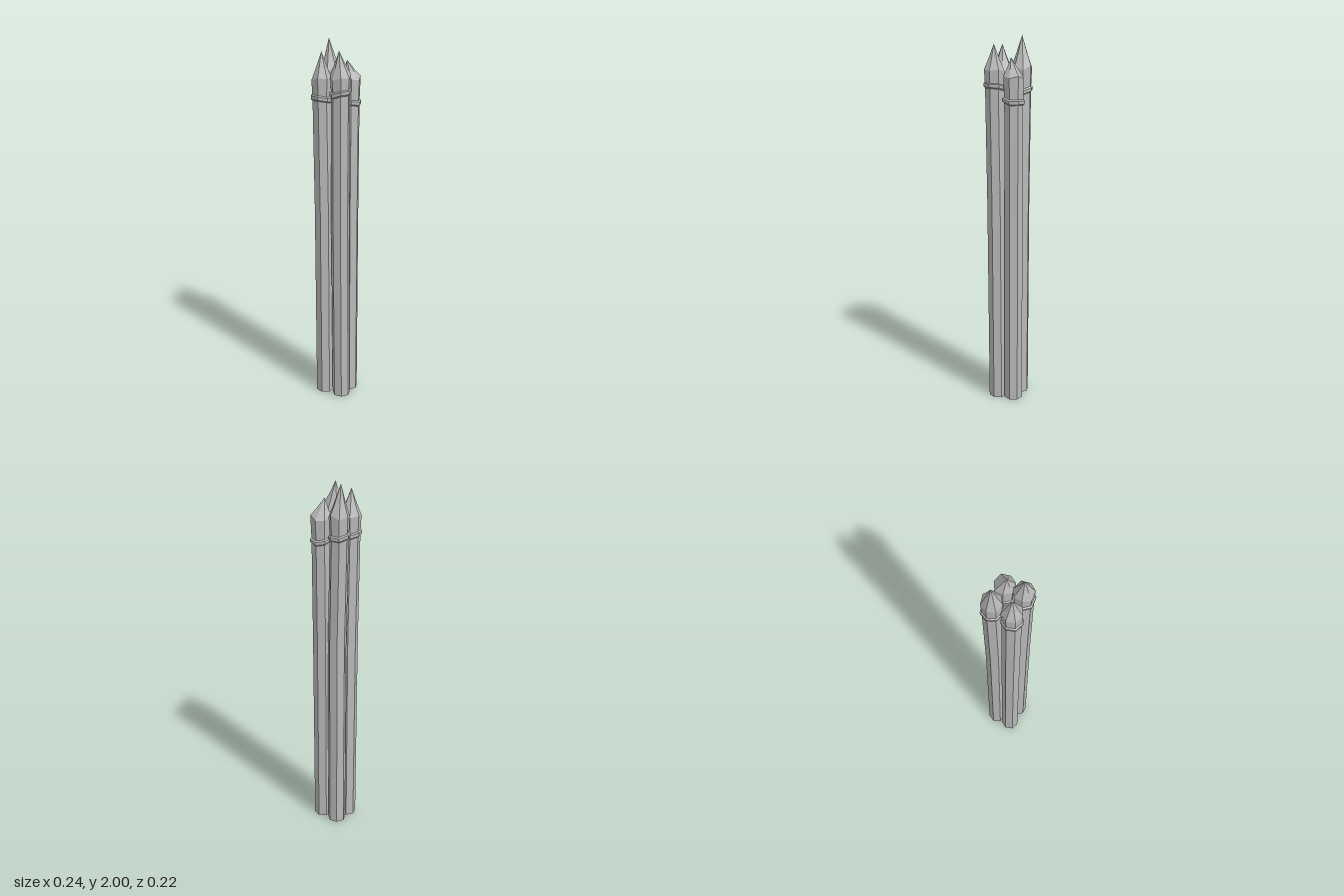
import * as THREE from 'three';

const SIDES = 7;

// Faceted loft through seven-sided rings: { x, y, z, r, tiltX, tiltZ, wobble }
function loft(rings, phase) {
  const pos = [];
  const corner = (ring, i) => {
    const a = phase + (i % SIDES) * Math.PI * 2 / SIDES;
    const dx = Math.cos(a) * ring.r, dz = Math.sin(a) * ring.r;
    const y = ring.y + dx * (ring.tiltX || 0) + dz * (ring.tiltZ || 0)
      + (ring.wobble || 0) * Math.sin((i % SIDES) * 2.4 + phase);
    return [ring.x + dx, y, ring.z + dz];
  };
  for (let k = 0; k < rings.length - 1; k++) {
    const lo = rings[k], hi = rings[k + 1];
    for (let i = 0; i < SIDES; i++) {
      const a = corner(lo, i), b = corner(lo, i + 1);
      const c = corner(hi, i), d = corner(hi, i + 1);
      if (lo.r > 0) pos.push(...a, ...c, ...b);
      if (hi.r > 0) pos.push(...b, ...c, ...d);
    }
  }
  const g = new THREE.BufferGeometry();
  g.setAttribute('position', new THREE.Float32BufferAttribute(pos, 3));
  g.computeVertexNormals();
  return g;
}

// base, mid and top are [x, z] centres; tip is [x, y, z]
const STAKES = [
  { name: 'backLeftStake', base: [-0.042, -0.053], mid: [-0.045, -0.054], top: [-0.06, -0.055],
    tip: [-0.068, 2.0, -0.052], band: 1.725, shoulder: 1.835, phase: 180, tilt: [-0.15, 0.1] },
  { name: 'backRightStake', base: [0.058, -0.052], mid: [0.058, -0.052], top: [0.06, -0.053],
    tip: [0.05, 1.9, -0.035], band: 1.68, shoulder: 1.8, phase: 5, tilt: [-0.1, 0.12] },
  { name: 'frontLeftStake', base: [-0.044, 0.038], mid: [-0.046, 0.043], top: [-0.051, 0.05],
    tip: [-0.052, 1.95, 0.052], band: 1.71, shoulder: 1.815, phase: 185, tilt: [-0.12, 0.1] },
  { name: 'frontRightStake', base: [0.06, 0.037], mid: [0.056, 0.045], top: [0.061, 0.052],
    tip: [0.055, 1.965, 0.058], band: 1.745, shoulder: 1.83, phase: 8, tilt: [0.2, 0.05] },
];

export function createModel() {
  const model = new THREE.Group();
  model.name = 'stakeBundle';
  const grey = new THREE.MeshStandardMaterial({ color: 0xb8b8b8 });
  grey.name = 'grey';

  for (const s of STAKES) {
    const stake = new THREE.Group();
    stake.name = s.name;
    const phase = THREE.MathUtils.degToRad(s.phase);
    const at = ([x, z], y, r, extra = {}) => ({ x, y, z, r, ...extra });
    const add = (name, rings) => {
      const mesh = new THREE.Mesh(loft(rings, phase), grey);
      mesh.name = name;
      stake.add(mesh);
    };
    const [tiltX, tiltZ] = s.tilt;
    const shoulder = at(s.top, s.shoulder, 0.055, { wobble: 0.012 });

    // Slightly bent shaft, closed underneath
    add('shaft', [
      at(s.base, 0, 0), at(s.base, 0, 0.049), at(s.mid, 1.1, 0.05),
      at(s.top, s.band, 0.05), shoulder,
    ]);

    // Sharpened point, a little off centre
    const [tx, ty, tz] = s.tip;
    const neck = [s.top[0] * 0.6 + tx * 0.4, s.top[1] * 0.6 + tz * 0.4];
    add('point', [
      shoulder,
      at(neck, s.shoulder + (ty - s.shoulder) * 0.4, 0.031, { wobble: 0.006 }),
      { x: tx, y: ty, z: tz, r: 0 },
    ]);

    // Thin crooked binding around the neck
    const bind = (dy, r) => at(s.top, s.band + dy, r, { tiltX, tiltZ, wobble: 0.005 });
    add('binding', [bind(-0.018, 0.048), bind(-0.009, 0.058), bind(0.008, 0.059), bind(0.016, 0.048)]);

    model.add(stake);
  }
  return model;
}
